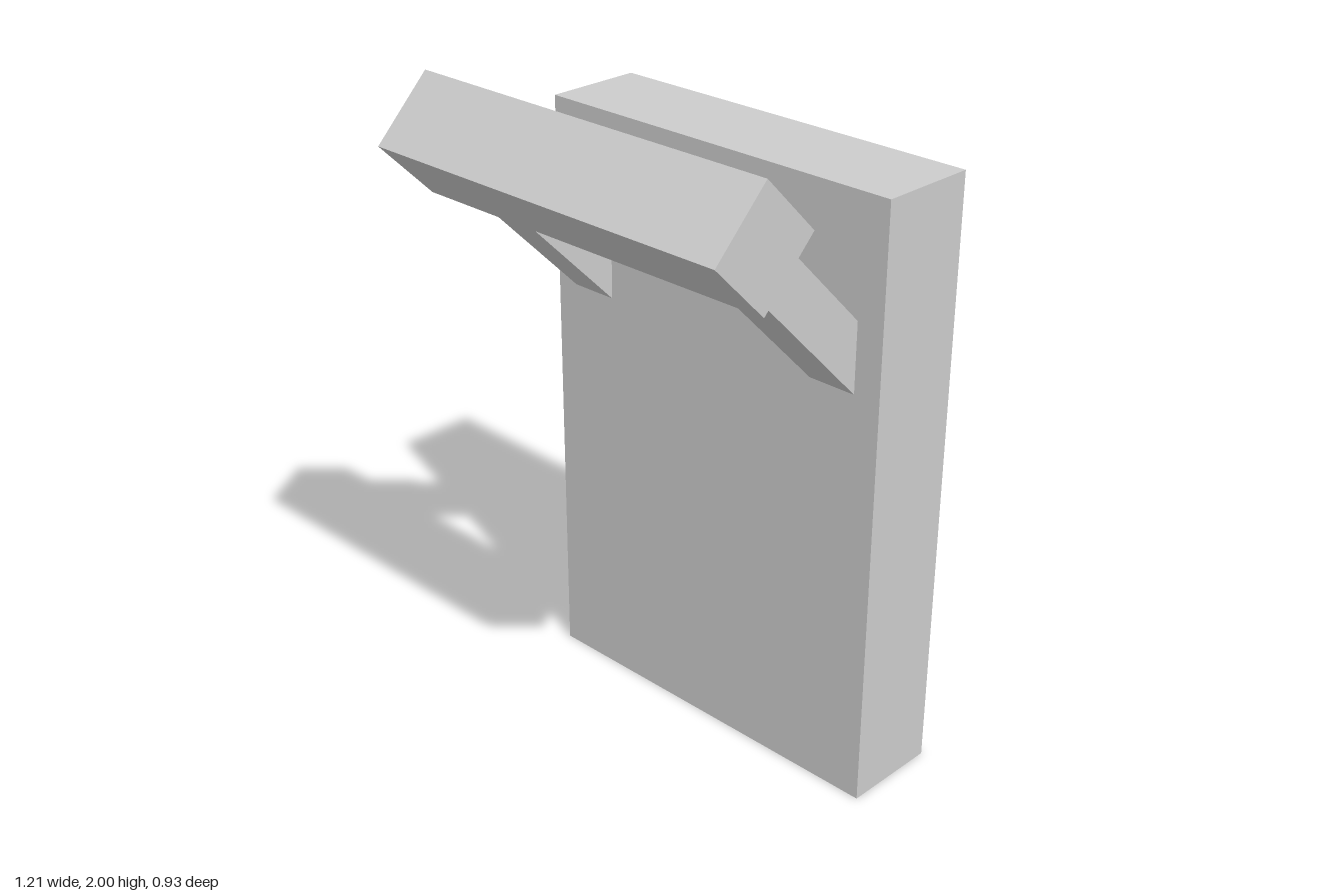
import * as THREE from 'three';

const material = new THREE.MeshStandardMaterial({ color: 0xcccccc, flatShading: true });

function addPart(group, name, geometry, x, y, z) {
  const mesh = new THREE.Mesh(geometry, material);
  mesh.name = name;
  mesh.position.set(x, y, z);
  group.add(mesh);
  return mesh;
}

// Side profile given as [z, y] points, extruded along x and centred on x = 0
function sideExtrude(points, width) {
  const shape = new THREE.Shape(points.map(([z, y]) => new THREE.Vector2(z, y)));
  const geometry = new THREE.ExtrudeGeometry(shape, { depth: width, bevelEnabled: false });
  geometry.translate(0, 0, -width / 2);
  geometry.rotateY(-Math.PI / 2);
  return geometry;
}

export function createModel() {
  const group = new THREE.Group();
  group.name = 'wallRail';

  // Upright wall slab
  addPart(group, 'wallPanel', new THREE.BoxGeometry(1.214, 1.83, 0.303), 0, 0.915, -0.315);

  // Square rail turned on its edge
  const rail = addPart(group, 'rail', new THREE.BoxGeometry(1.214, 0.242, 0.242), 0, 1.829, 0.295);
  rail.rotation.x = Math.PI / 4;

  // Slanted arms, cut flush against the wall and square against the rail
  const armProfile = [[-0.163, 1.27], [0.261, 1.694], [0.156, 1.799], [-0.163, 1.48]];
  const arm = sideExtrude(armProfile, 0.152);
  addPart(group, 'leftArm', arm, 0.447, 0, 0);
  addPart(group, 'rightArm', arm, -0.459, 0, 0);

  return group;
}
